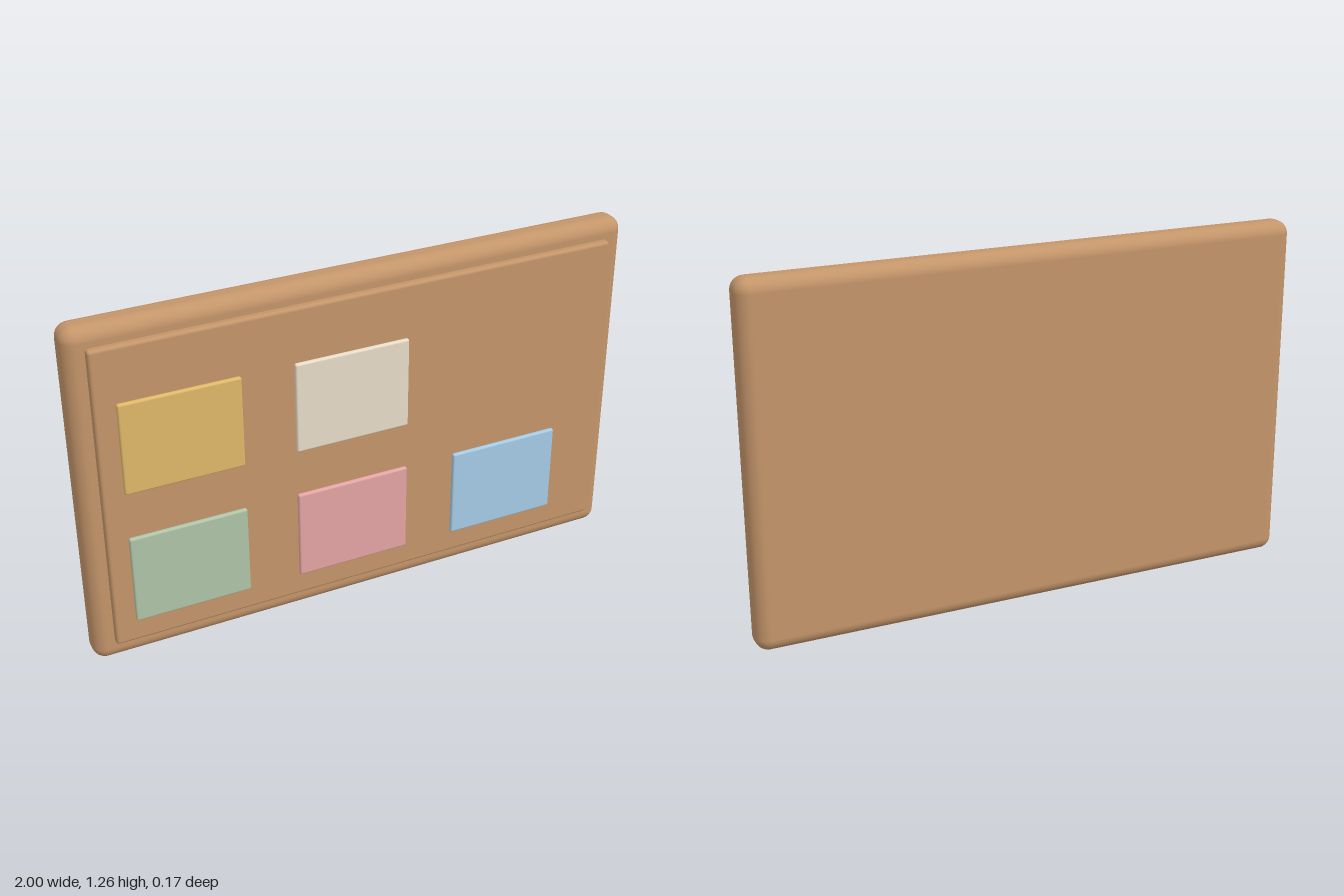
import * as THREE from 'three';
import { RoundedBoxGeometry } from 'three/addons/geometries/RoundedBoxGeometry.js';

const material = (color) => new THREE.MeshStandardMaterial({ color });

// Rounded slab, placed by its centre
function slab(name, w, h, d, radius, segments, mat, x, y, z) {
  const mesh = new THREE.Mesh(new RoundedBoxGeometry(w, h, d, segments, radius), mat);
  mesh.name = name;
  mesh.position.set(x, y, z);
  return mesh;
}

export function createModel() {
  const group = new THREE.Group();
  group.name = 'noticeBoard';
  const wood = material(0xc4956a);

  // Thick rounded backing board and the thin panel on its front
  group.add(slab('boardFrame', 2, 1.256, 0.116, 0.047, 6, wood, 0, 0.628, -0.025));
  group.add(slab('boardPanel', 1.86, 1.116, 0.047, 0.011, 4, wood, 0, 0.633, 0.034));

  // Paper notes: column, row, colour; the top right place is empty
  const columns = [-0.655, -0.059, 0.535];
  const rows = [0.337, 0.838];
  const notes = [
    ['goldNote', 0, 1, 0xdfb968],
    ['creamNote', 1, 1, 0xe8dcc8],
    ['greenNote', 0, 0, 0xb0c4a8],
    ['pinkNote', 1, 0, 0xe5a5a5],
    ['blueNote', 2, 0, 0xa5cbe5],
  ];
  for (const [name, c, r, color] of notes) {
    group.add(slab(name, 0.411, 0.33, 0.018, 0.007, 3, material(color), columns[c], rows[r], 0.074));
  }
  return group;
}
